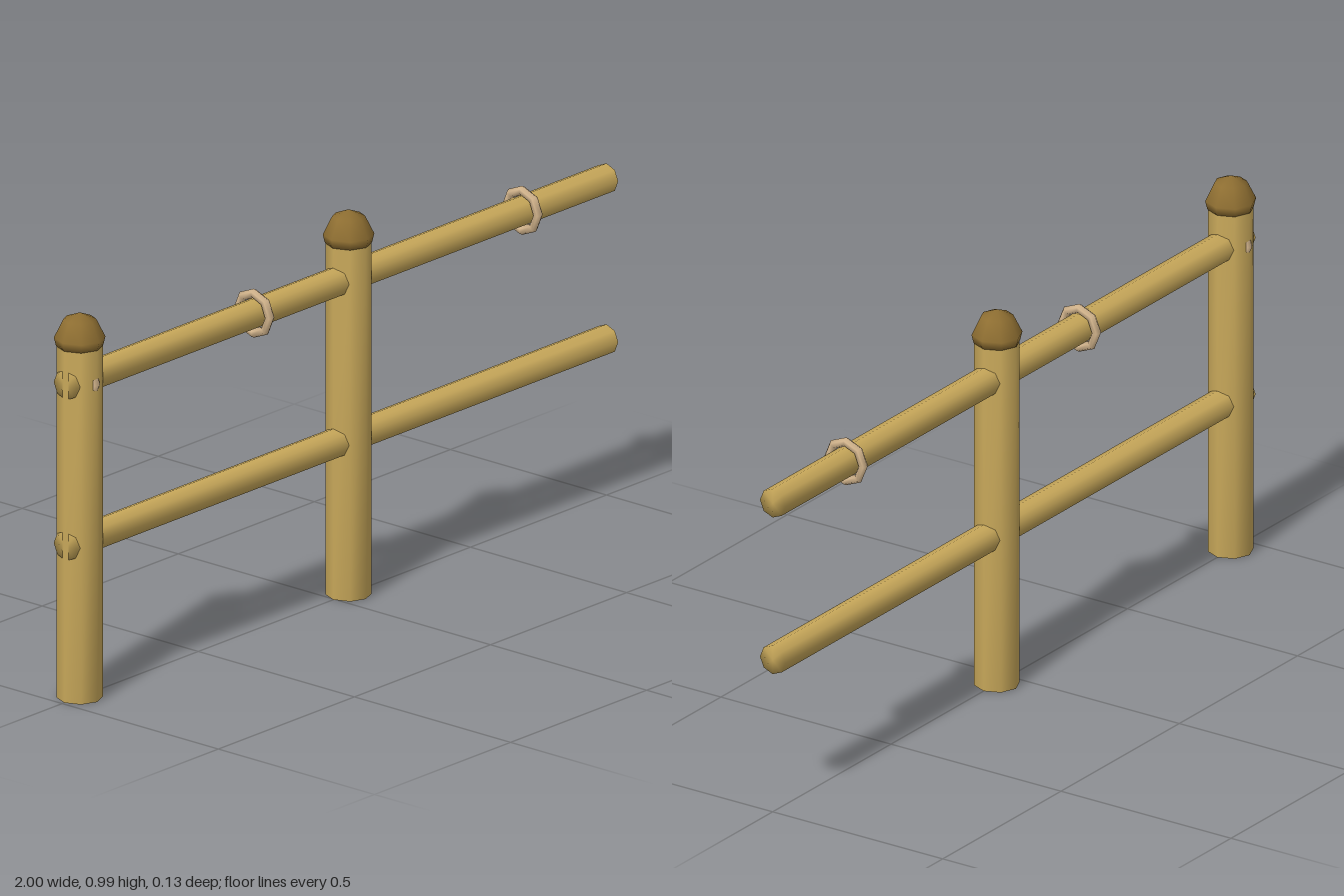
import * as THREE from 'three';
import { mergeVertices } from 'three/addons/utils/BufferGeometryUtils.js';

const SIDES = 8;

// Weld a geometry so that shading runs smoothly over every edge
function smooth(geometry) {
  geometry.deleteAttribute('normal');
  geometry.deleteAttribute('uv');
  const welded = mergeVertices(geometry, 1e-4);
  welded.computeVertexNormals();
  return welded;
}

export function createModel() {
  const group = new THREE.Group();
  const wood = new THREE.MeshStandardMaterial({ name: 'bamboo', color: 0xc8a85a });
  const darkWood = new THREE.MeshStandardMaterial({ name: 'dark wood', color: 0x8f6f32 });
  const rope = new THREE.MeshStandardMaterial({ name: 'rope', color: 0xd2b48c });

  function add(name, geometry, material, x, y) {
    const mesh = new THREE.Mesh(geometry, material);
    mesh.name = name;
    mesh.position.set(x, y, 0);
    group.add(mesh);
    return mesh;
  }

  // Posts with rounded caps
  const postGeometry = smooth(new THREE.CylinderGeometry(0.056, 0.056, 0.91, SIDES));
  const capProfile = [[0, 0], [0.057, 0], [0.0625, 0.022], [0.04, 0.068], [0, 0.085]]
    .map(([r, y]) => new THREE.Vector2(r, y));
  const capGeometry = smooth(new THREE.LatheGeometry(capProfile, SIDES));
  for (const x of [-0.936, 0.052]) {
    add('post', postGeometry, wood, x, 0.455);
    add('postCap', capGeometry, darkWood, x, 0.9);
  }

  // Rails running through both posts
  const railStart = -0.988, railEnd = 1;
  const railGeometry = smooth(
    new THREE.CylinderGeometry(0.0375, 0.0375, railEnd - railStart, SIDES).rotateZ(-Math.PI / 2));
  for (const [name, y] of [['topRail', 0.812], ['lowerRail', 0.4]]) {
    add(name, railGeometry, wood, (railStart + railEnd) / 2, y);
  }

  // Rope bindings around the top rail
  const ringGeometry = new THREE.TorusGeometry(0.051, 0.0118, 6, SIDES).rotateY(Math.PI / 2);
  for (const x of [-0.936, -0.296, 0.69]) add('ropeBinding', ringGeometry, rope, x, 0.812);

  return group;
}
